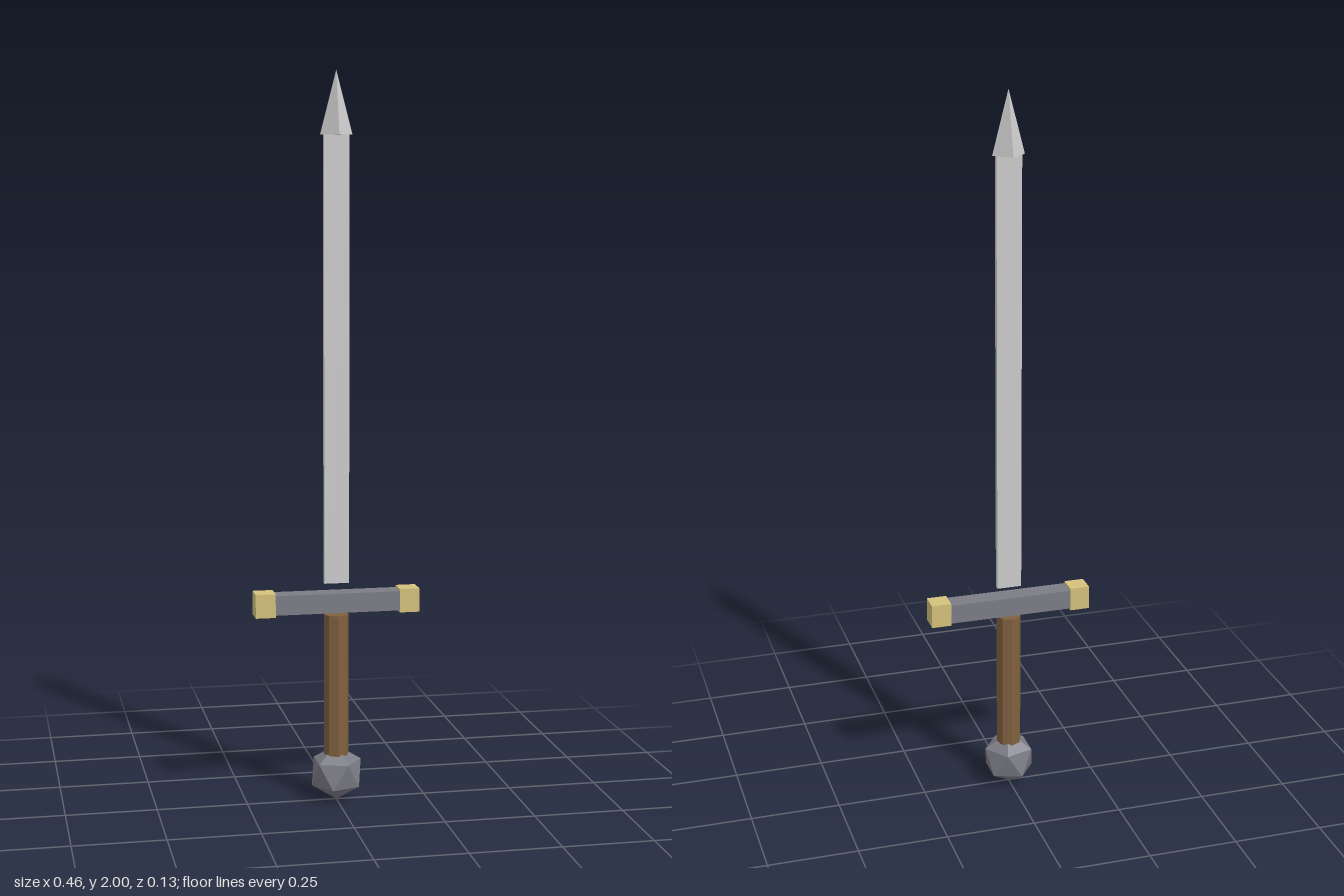
import * as THREE from 'three';
import { ConvexGeometry } from 'three/addons/geometries/ConvexGeometry.js';

const material = (color) => new THREE.MeshStandardMaterial({ color, flatShading: true });
const steel = material(0xcccccc);
const iron = material(0x7c7c86);
const gold = material(0xd4c17c);
const wood = material(0x80603f);

// Twelve-point ball with a corner straight up and a corner straight down
function pommelGeometry(r) {
  const points = [new THREE.Vector3(0, r, 0), new THREE.Vector3(0, -r, 0)];
  const h = r / Math.sqrt(5);
  for (let i = 0; i < 5; i++) {
    const a = (i * Math.PI * 2) / 5;
    const x = 2 * h * Math.cos(a), z = 2 * h * Math.sin(a);
    points.push(new THREE.Vector3(x, h, z), new THREE.Vector3(-x, -h, -z));
  }
  return new ConvexGeometry(points);
}

export function createModel() {
  const sword = new THREE.Group();
  sword.name = 'sword';

  const add = (name, geometry, mat, x, y) => {
    const mesh = new THREE.Mesh(geometry, mat);
    mesh.name = name;
    mesh.position.set(x, y, 0);
    sword.add(mesh);
  };

  // Pommel and grip
  add('pommel', pommelGeometry(0.0775), iron, 0, 0.0775);
  add('grip', new THREE.CylinderGeometry(0.035, 0.035, 0.397, 8), wood, 0, 0.3285);

  // Crossguard with a block on each end
  add('crossguard', new THREE.BoxGeometry(0.4, 0.054, 0.055), iron, 0, 0.562);
  for (const [name, side] of [['leftGuardCap', 1], ['rightGuardCap', -1]]) {
    add(name, new THREE.BoxGeometry(0.055, 0.066, 0.0555), gold, side * 0.2005, 0.562);
  }

  // Flat blade with a four-sided point
  add('blade', new THREE.BoxGeometry(0.069, 1.226, 0.016), steel, 0, 1.227);
  add('bladeTip', new THREE.ConeGeometry(0.044, 0.17, 4), steel, 0, 1.915);

  return sword;
}
